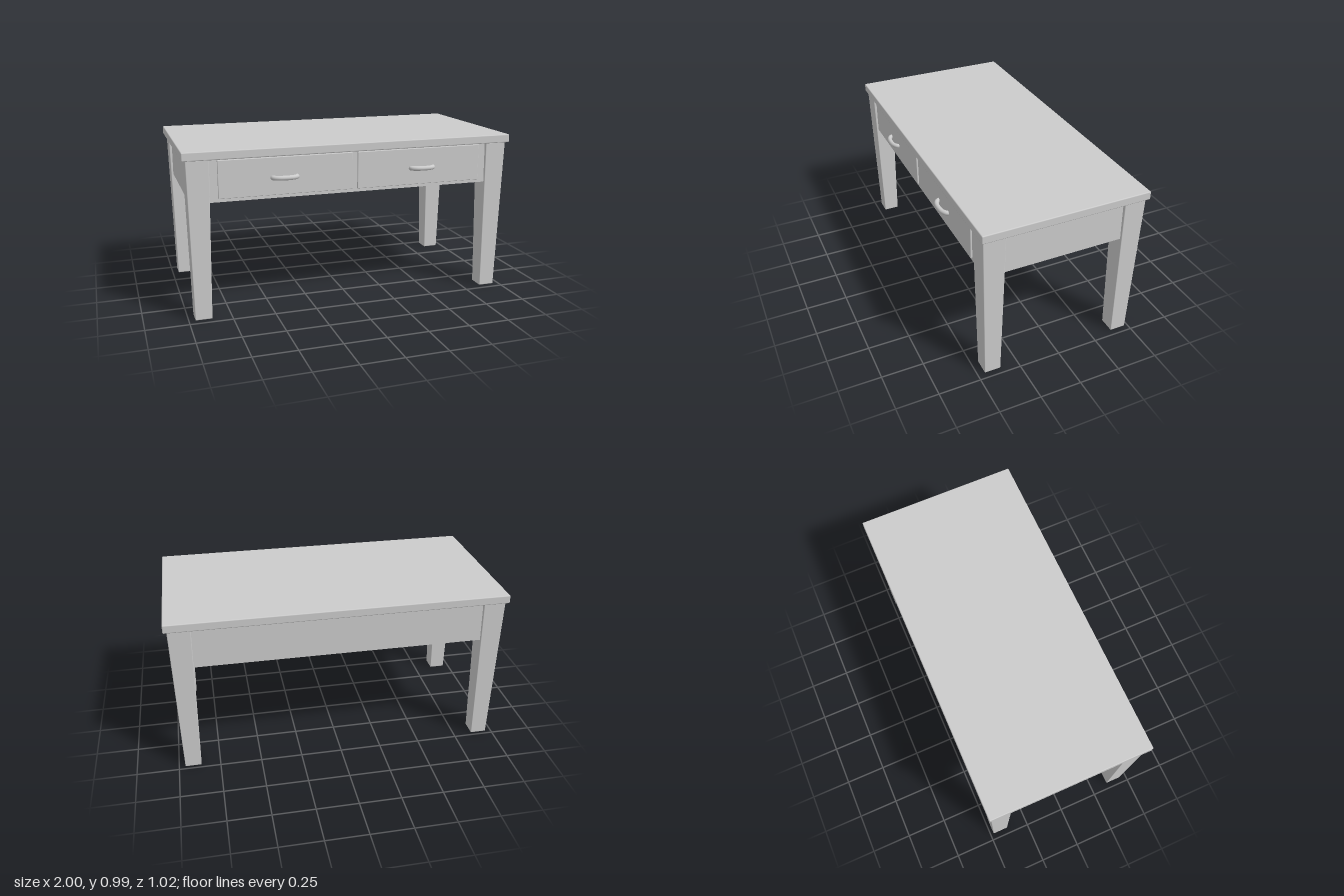
import * as THREE from 'three';
import { RoundedBoxGeometry } from 'three/addons/geometries/RoundedBoxGeometry.js';

const grey = new THREE.MeshStandardMaterial({ color: 0xcccccc });

export function createModel() {
  const table = new THREE.Group();
  table.name = 'table';

  const add = (name, geometry, x, y, z) => {
    const mesh = new THREE.Mesh(geometry, grey);
    mesh.name = name;
    mesh.position.set(x, y, z);
    table.add(mesh);
  };

  const zMid = -0.011; // the body sits slightly back; the handles reach forward

  // Slab top with softened edges
  add('tableTop', new RoundedBoxGeometry(2, 0.05, 0.996, 2, 0.006), 0, 0.96, zMid);

  // Closed body below the top
  add('apron', new THREE.BoxGeometry(1.924, 0.246, 0.935), 0, 0.813, zMid);

  // Legs narrow evenly towards the floor
  const legHeight = 0.937;
  const legGeometry = new RoundedBoxGeometry(0.132, legHeight, 0.132, 2, 0.005);
  const p = legGeometry.attributes.position;
  for (let i = 0; i < p.count; i++) {
    const scale = THREE.MathUtils.lerp(0.74, 1, p.getY(i) / legHeight + 0.5);
    p.setX(i, p.getX(i) * scale);
    p.setZ(i, p.getZ(i) * scale);
  }
  for (const [side, sx] of [['Left', 1], ['Right', -1]]) {
    add('front' + side + 'Leg', legGeometry, sx * 0.914, legHeight / 2, zMid + 0.419);
    add('back' + side + 'Leg', legGeometry, sx * 0.914, legHeight / 2, zMid - 0.419);
  }

  // Bowed pull, its ends sunk into the drawer front
  const bow = new THREE.CatmullRomCurve3([
    [-0.071, 0.455], [-0.069, 0.474], [-0.045, 0.491], [0, 0.497],
    [0.045, 0.491], [0.069, 0.474], [0.071, 0.455],
  ].map(([x, z]) => new THREE.Vector3(x, 0, z)));
  const handleGeometry = new THREE.TubeGeometry(bow, 32, 0.014, 12);

  // Two drawer fronts with handles
  for (const [side, sx] of [['left', 1], ['right', -1]]) {
    add(side + 'DrawerFront', new RoundedBoxGeometry(0.788, 0.218, 0.03, 2, 0.003), sx * 0.41, 0.819, 0.452);
    add(side + 'Handle', handleGeometry, sx * 0.423, 0.811, 0);
  }

  return table;
}
